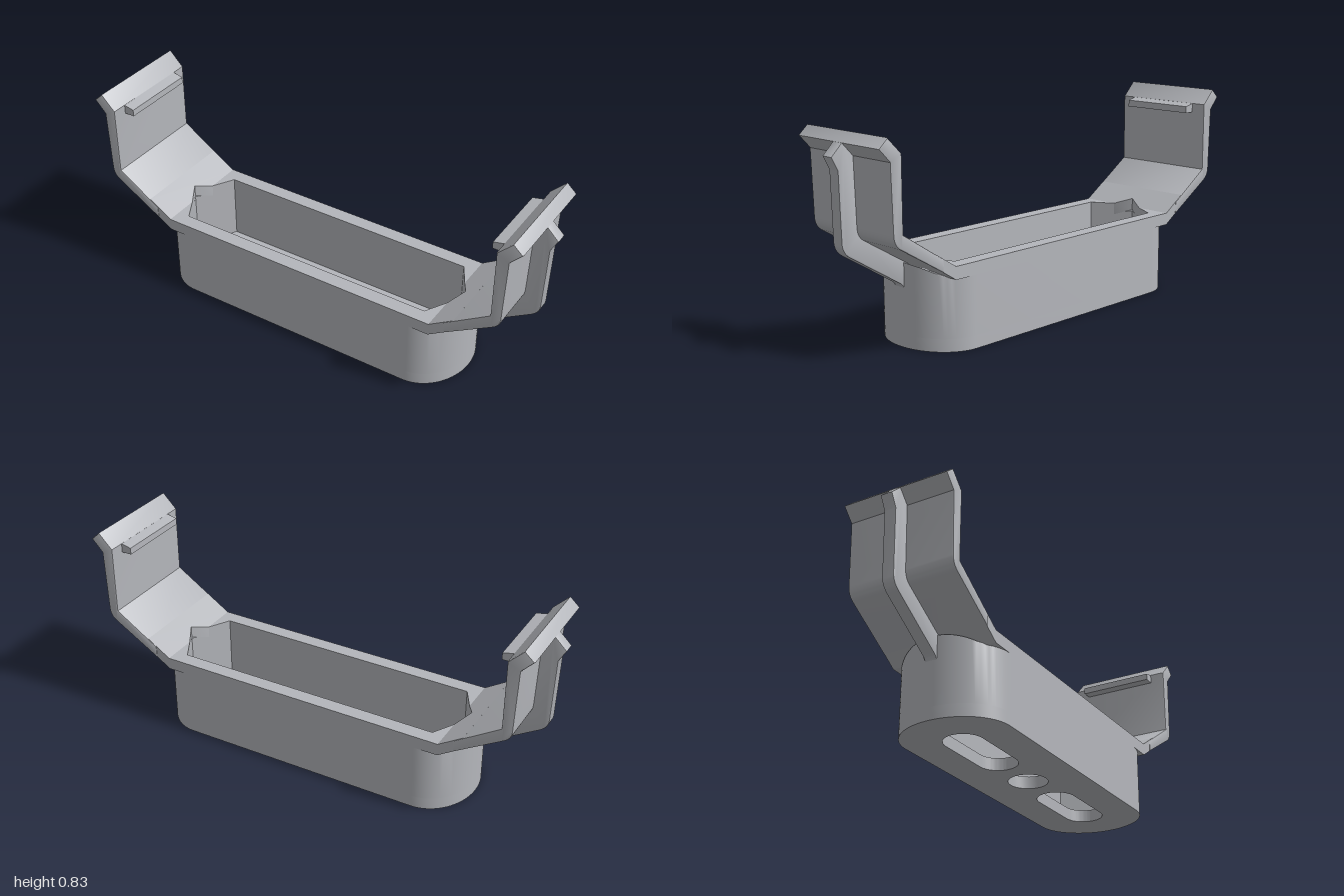
import * as THREE from 'three';
import { toCreasedNormals } from 'three/addons/utils/BufferGeometryUtils.js';

const HALF = 0.22;      // half depth of the body
const SLOPE = 0.64;     // rise of the arm ramps
const material = new THREE.MeshStandardMaterial({ color: 0xb4b6bb });
material.name = 'grey plastic';

const polygon = (points) => new THREE.Shape(points.map(([x, y]) => new THREE.Vector2(x, y)));

function part(name, geometry) {
  const mesh = new THREE.Mesh(toCreasedNormals(geometry, 0.6), material);
  mesh.name = name;
  return mesh;
}

// Plan shape raised from y0 to y1
function raise(shape, y0, y1) {
  const g = new THREE.ExtrudeGeometry(shape, { depth: y1 - y0, bevelEnabled: false, curveSegments: 20 });
  return g.rotateX(-Math.PI / 2).translate(0, y0, 0);
}

// Side profile extruded evenly about z = 0, with slightly eased edges
function across(shape, width, bevel) {
  const g = new THREE.ExtrudeGeometry(shape, {
    depth: width - 2 * bevel, curveSegments: 8,
    bevelEnabled: bevel > 0, bevelSize: bevel, bevelThickness: bevel, bevelOffset: -bevel, bevelSegments: 2,
  });
  return g.translate(0, 0, -width / 2 + bevel);
}

// Lift vertices above minY along the ramps
function ramp(g, start, minY) {
  const p = g.attributes.position;
  for (let i = 0; i < p.count; i++) {
    if (p.getY(i) > minY) p.setY(i, p.getY(i) + Math.max(0, Math.abs(p.getX(i)) - start) * SLOPE);
  }
  return g;
}

// Long plan with rounded ends
function bodyPlan() {
  const s = new THREE.Shape();
  s.moveTo(-0.51, -HALF);
  s.lineTo(0.51, -HALF);
  s.absellipse(0.51, 0, 0.18, HALF, -Math.PI / 2, Math.PI / 2, false, 0);
  s.lineTo(-0.51, HALF);
  s.absellipse(-0.51, 0, 0.18, HALF, Math.PI / 2, Math.PI * 1.5, false, 0);
  return s;
}

function slot(x0, x1, r) {
  const s = new THREE.Path();
  s.moveTo(x0 + r, -r);
  s.lineTo(x1 - r, -r);
  s.absarc(x1 - r, 0, r, -Math.PI / 2, Math.PI / 2, false);
  s.lineTo(x0 + r, r);
  s.absarc(x0 + r, 0, r, Math.PI / 2, Math.PI * 1.5, false);
  return s;
}

function createArm() {
  const arm = new THREE.Group();

  // Ramp root, notched by the tip of the pocket
  const root = polygon([[0.61, 0.071], [0.65, 0], [0.61, -0.071], [0.61, -HALF],
    [0.71, -HALF], [0.71, HALF], [0.61, HALF]]);
  arm.add(part('rampRoot', ramp(raise(root, 0.28, 0.33), 0.61, 0)));

  // Wide strap: ramp, upright and slanted tip
  const strap = new THREE.Shape();
  strap.moveTo(0.67, 0.318);
  strap.lineTo(0.865, 0.435);
  strap.quadraticCurveTo(0.897, 0.452, 0.898, 0.49);
  strap.lineTo(0.906, 0.745);
  strap.lineTo(0.953, 0.795);
  strap.lineTo(0.914, 0.83);
  strap.lineTo(0.854, 0.77);
  strap.lineTo(0.854, 0.487);
  strap.lineTo(0.67, 0.368);
  arm.add(part('strap', across(strap, 0.446, 0.006)));

  // Narrow stiffening rib along the outside
  const rib = new THREE.Shape();
  rib.moveTo(0.665, 0.2);
  rib.lineTo(0.684, 0.21);
  rib.quadraticCurveTo(0.688, 0.238, 0.71, 0.25);
  rib.lineTo(0.93, 0.385);
  rib.quadraticCurveTo(0.963, 0.405, 0.965, 0.44);
  rib.lineTo(0.972, 0.7);
  rib.lineTo(0.999, 0.75);
  rib.lineTo(0.945, 0.802);
  rib.lineTo(0.89, 0.75);
  rib.lineTo(0.88, 0.47);
  rib.lineTo(0.665, 0.335);
  arm.add(part('rib', across(rib, 0.05, 0.004)));

  // Inner catch
  const latch = polygon([[0.81, 0.732], [0.86, 0.732], [0.86, 0.771], [0.81, 0.76]]);
  arm.add(part('catch', across(latch, 0.32, 0)));
  return arm;
}

export function createModel() {
  const model = new THREE.Group();
  model.name = 'mountingBracket';

  // Floor with two slots and a centre hole
  const floor = bodyPlan();
  const hole = new THREE.Path();
  hole.absarc(0, 0, 0.078, 0, Math.PI * 2, false);
  floor.holes.push(hole, slot(0.15, 0.54, 0.078), slot(-0.54, -0.15, 0.078));
  model.add(part('floor', raise(floor, 0, 0.05)));

  // Walls around the six-sided pocket
  const walls = bodyPlan();
  walls.holes.push(polygon([[-0.65, 0], [-0.56, -0.16], [0.56, -0.16], [0.65, 0], [0.56, 0.16], [-0.56, 0.16]]));
  model.add(part('walls', ramp(raise(walls, 0.05, 0.28), 0.62, 0.1)));

  // Flat rim rails, front and back
  for (const [name, s] of [['backRim', 1], ['frontRim', -1]]) {
    const rail = polygon([[-0.61, 0.071], [-0.56, 0.16], [0.56, 0.16], [0.61, 0.071], [0.61, HALF], [-0.61, HALF]]
      .map(([x, z]) => [x, z * s]));
    model.add(part(name, raise(rail, 0.28, 0.33)));
  }

  // Mirrored arms
  for (const [name, turn] of [['leftArm', 0], ['rightArm', Math.PI]]) {
    const arm = createArm();
    arm.name = name;
    arm.rotation.y = turn;
    model.add(arm);
  }
  return model;
}
